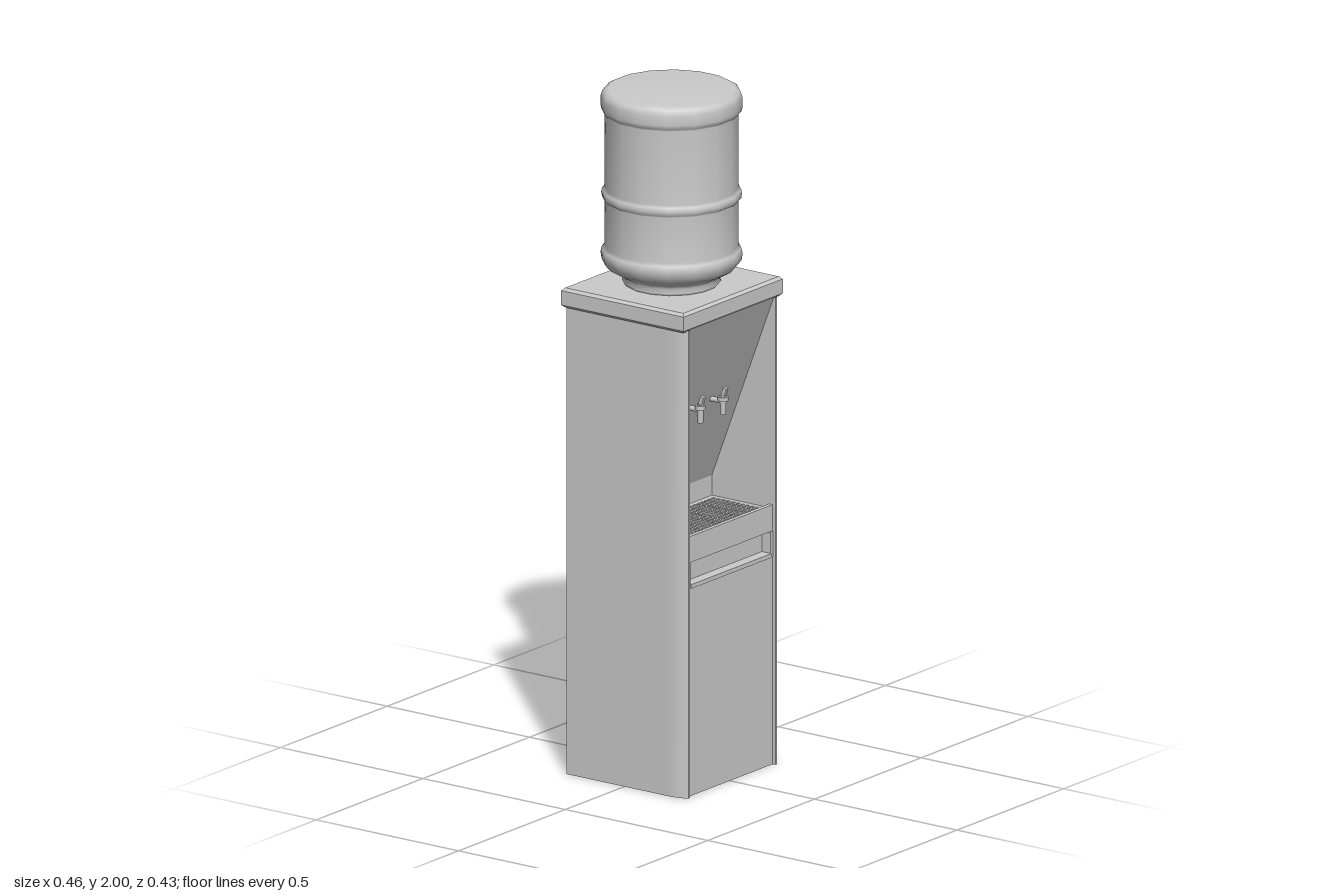
import * as THREE from 'three';
import { toCreasedNormals } from 'three/addons/utils/BufferGeometryUtils.js';

const mat = new THREE.MeshStandardMaterial({ color: 0xcccccc, side: THREE.DoubleSide });

function add(parent, name, geometry, x = 0, y = 0, z = 0) {
  const mesh = new THREE.Mesh(geometry, mat);
  mesh.name = name;
  mesh.position.set(x, y, z);
  parent.add(mesh);
  return mesh;
}

const box = (w, h, d) => new THREE.BoxGeometry(w, h, d);

// Open surface stretched between two matching polylines
function ribbon(a, b, crease) {
  const pos = [];
  for (let i = 0; i < a.length - 1; i++) {
    pos.push(...a[i], ...a[i + 1], ...b[i + 1], ...a[i], ...b[i + 1], ...b[i]);
  }
  const g = new THREE.BufferGeometry();
  g.setAttribute('position', new THREE.Float32BufferAttribute(pos, 3));
  return toCreasedNormals(g, crease);
}

function rectangle(x0, y0, x1, y1, Type = THREE.Shape) {
  return new Type([[x0, y0], [x1, y0], [x1, y1], [x0, y1]].map(p => new THREE.Vector2(...p)));
}

function createTap() {
  const tap = new THREE.Group();
  tap.name = 'tap';
  add(tap, 'tapStem', new THREE.CylinderGeometry(0.008, 0.008, 0.05, 10).rotateX(Math.PI / 2), 0, 0, 0.01);
  add(tap, 'tapSpout', new THREE.CylinderGeometry(0.01, 0.008, 0.055, 10), 0, -0.01, 0.035);
  add(tap, 'tapCollar', new THREE.CylinderGeometry(0.015, 0.015, 0.012, 10), 0, 0.008, 0.035);
  add(tap, 'tapLever', box(0.011, 0.03, 0.012), 0, 0.026, 0.04).rotation.x = 0.3;
  return tap;
}

export function createModel() {
  const model = new THREE.Group();
  model.name = 'waterCooler';

  // Cabinet shell: open at the bottom, with softened front corners
  const half = [[0.2, 0.2], [0.2, 0.213], [0.208, 0.213], [0.217, 0.195], [0.222, 0.17], [0.223, 0.14], [0.223, -0.204]];
  const section = [...half, ...half.map(([x, z]) => [-x, z]).reverse()];
  add(model, 'cabinetShell', ribbon(
    section.map(([x, z]) => [x, 0, z]), section.map(([x, z]) => [x, 1.372, z]), 0.7));

  // Front door, storage slot, tray and sloping tap panel in one profile (z, y)
  const front = [[0.203, 0], [0.203, 0.61], [0.175, 0.61], [0.175, 0.685], [0.203, 0.685], [0.203, 0.762],
    [0.19, 0.762], [0.19, 0.73], [-0.01, 0.73], [-0.01, 0.81], [0.207, 1.37]];
  add(model, 'frontPanel', ribbon(
    front.map(([z, y]) => [0.2, y, z]), front.map(([z, y]) => [-0.2, y, z]), 0.1));

  // Side cheeks of the niche and slot surround
  const cheek = new THREE.Shape([[0.205, 0.605], [0.205, 1.37], [-0.01, 0.81], [-0.01, 0.605]]
    .map(p => new THREE.Vector2(...p)));
  for (const s of [-1, 1]) {
    add(model, 'nicheCheek', new THREE.ShapeGeometry(cheek).rotateY(-Math.PI / 2), s * 0.2);
    add(model, 'slotJamb', box(0.012, 0.075, 0.03), s * 0.194, 0.6475, 0.19);
  }
  add(model, 'slotLedge', box(0.376, 0.012, 0.034), 0, 0.616, 0.191);

  // Perforated drip grate
  const grate = rectangle(-0.198, -0.008, 0.198, 0.188);
  const cols = 22, rows = 10, px = 0.37 / cols, pz = 0.17 / rows;
  for (let i = 0; i < cols; i++) {
    for (let j = 0; j < rows; j++) {
      const x = -0.185 + i * px, z = 0.005 + j * pz;
      grate.holes.push(rectangle(x + 0.003, z + 0.003, x + px - 0.003, z + pz - 0.003, THREE.Path));
    }
  }
  add(model, 'dripGrate', new THREE.ExtrudeGeometry(grate, { depth: 0.005, bevelEnabled: false })
    .rotateX(Math.PI / 2), 0, 0.752, 0);

  // Pair of taps on the sloping panel
  for (const x of [-0.054, 0.052]) {
    const tap = createTap();
    tap.position.set(x, 1.09, 0.105);
    model.add(tap);
  }

  // Bevelled top slab
  const bevel = 0.008;
  add(model, 'topSlab', new THREE.ExtrudeGeometry(rectangle(-0.224, -0.207, 0.224, 0.207),
    { depth: 0.042, bevelThickness: bevel, bevelSize: bevel, bevelSegments: 1 })
    .rotateX(-Math.PI / 2), 0, 1.377, 0);

  // Upturned bottle: neck, shoulder, ribs and rounded base
  const profile = [[0.13, 1.425], [0.14, 1.435], [0.13, 1.445], [0.145, 1.457], [0.183, 1.478], [0.197, 1.495],
    [0.2, 1.515], [0.197, 1.53], [0.188, 1.538], [0.188, 1.672], [0.196, 1.678], [0.198, 1.69], [0.196, 1.702],
    [0.188, 1.708], [0.188, 1.925], [0.197, 1.933], [0.2, 1.945], [0.2, 1.972], [0.195, 1.988], [0.18, 1.997], [0, 2]];
  add(model, 'waterBottle', new THREE.LatheGeometry(profile.map(p => new THREE.Vector2(...p)), 16)
    .rotateY(Math.PI / 16), -0.002);

  return model;
}
